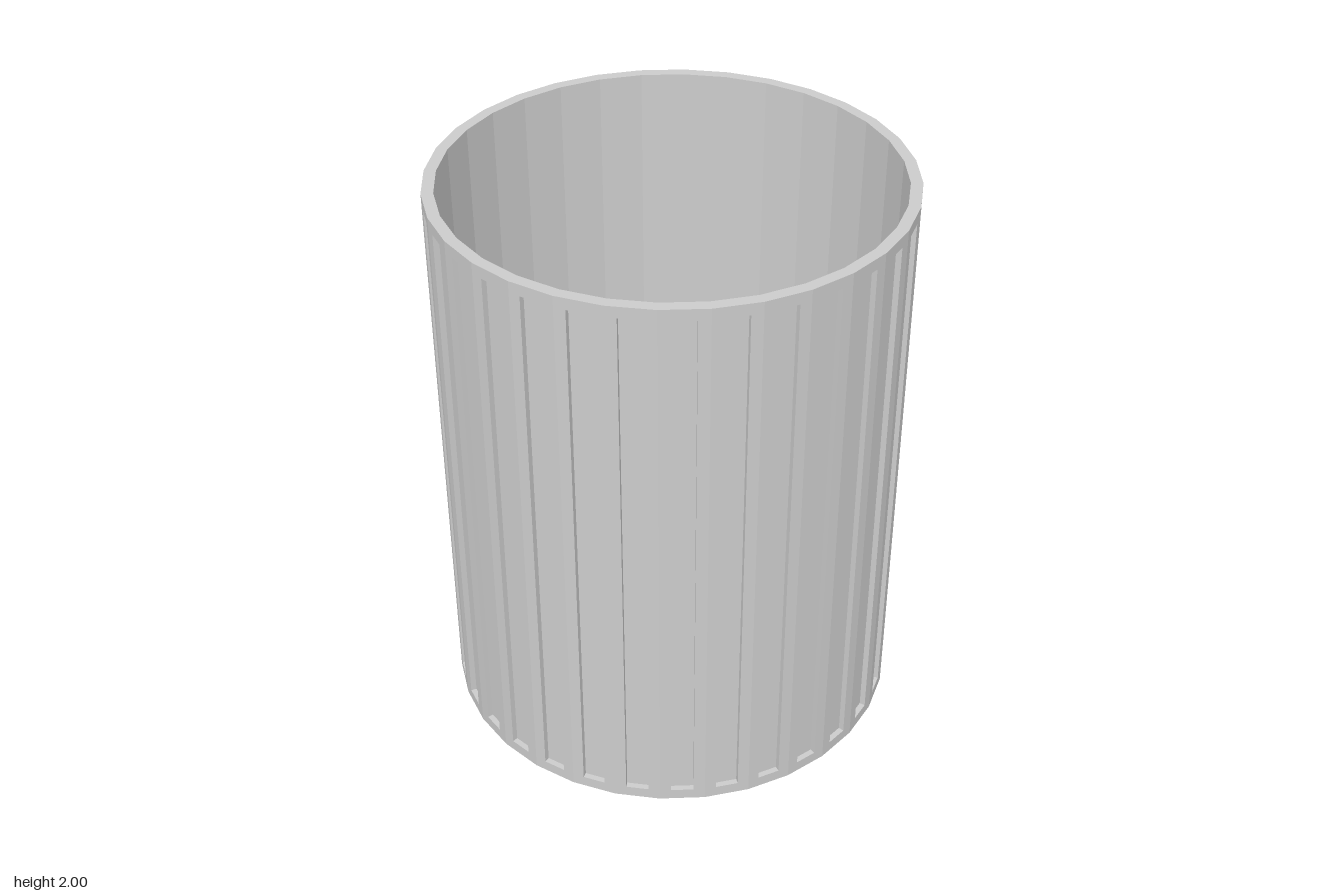
import * as THREE from 'three';
import { mergeGeometries } from 'three/addons/utils/BufferGeometryUtils.js';

const SIDES = 32, R = 0.8, H = 2;
const MARGIN = 0.04, DEPTH = 0.02;

// One flat wall facet with a rectangular recess, made from nested rectangles
function fluteFacet() {
  const apothem = R * Math.cos(Math.PI / SIDES);
  const half = R * Math.sin(Math.PI / SIDES);
  const rect = (w, y0, y1, z) => [[-w, y0, z], [w, y0, z], [w, y1, z], [-w, y1, z]];
  const rings = [
    rect(half, 0, H, apothem),
    rect(half / 2, MARGIN, H - MARGIN, apothem),
    rect(half / 2, MARGIN, H - MARGIN, apothem - DEPTH),
  ];
  const positions = [];
  const quad = (a, b, c, d) => positions.push(...a, ...b, ...c, ...a, ...c, ...d);
  for (let r = 0; r < 2; r++) {
    for (let i = 0; i < 4; i++) {
      const j = (i + 1) % 4;
      quad(rings[r][i], rings[r][j], rings[r + 1][j], rings[r + 1][i]);
    }
  }
  quad(...rings[2]);
  const geometry = new THREE.BufferGeometry();
  geometry.setAttribute('position', new THREE.Float32BufferAttribute(positions, 3));
  geometry.computeVertexNormals();
  return geometry;
}

export function createModel() {
  const group = new THREE.Group();
  group.name = 'flutedCup';
  const material = new THREE.MeshStandardMaterial({ color: 0xcccccc, flatShading: true });
  const add = (name, geometry) => {
    const mesh = new THREE.Mesh(geometry, material);
    mesh.name = name;
    group.add(mesh);
  };
  const lathe = (points) =>
    new THREE.LatheGeometry(points.map(([x, y]) => new THREE.Vector2(x, y)), SIDES);

  // Outer wall: the recessed facet repeated around the axis
  const facets = [];
  for (let i = 0; i < SIDES; i++) {
    facets.push(fluteFacet().rotateY(((i + 0.5) / SIDES) * Math.PI * 2));
  }
  add('flutedWall', mergeGeometries(facets));

  // Rim, slightly tapered inner wall and inside floor
  add('rimAndInterior', lathe([[R, H], [0.76, H], [0.75, MARGIN], [0, MARGIN]]));

  // Underside
  add('base', lathe([[0, 0], [R, 0]]));

  return group;
}
